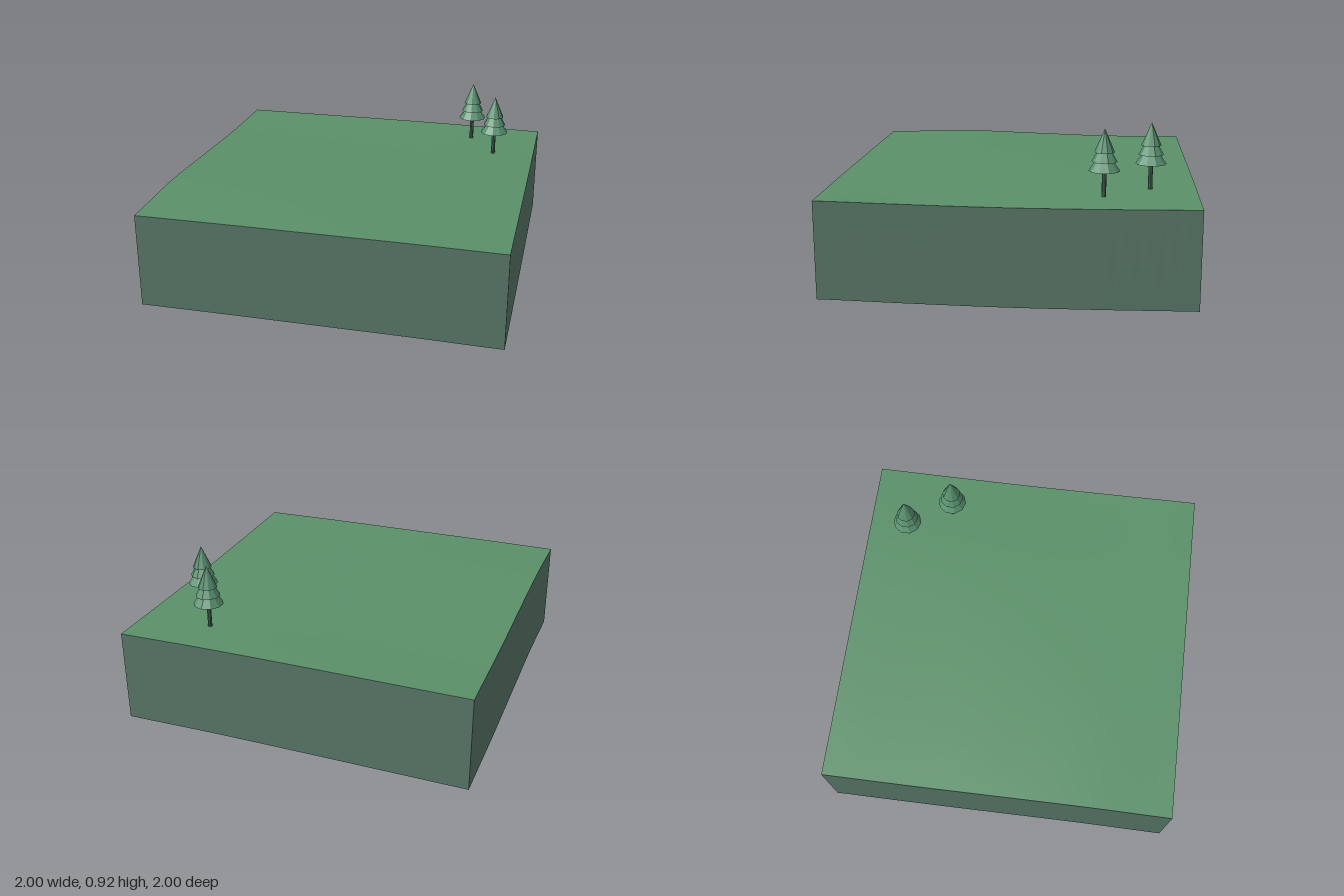
import * as THREE from 'three';

const DEPTH = 0.535; // height of the side walls
const SEG = 32;

// Ground heights on a coarse 5 x 5 net: rows z = -1..1, columns x = -1..1
const NET = [
  [0.555, 0.555, 0.555, 0.552, 0.543],
  [0.552, 0.552, 0.552, 0.549, 0.537],
  [0.565, 0.562, 0.556, 0.548, 0.535],
  [0.577, 0.571, 0.559, 0.550, 0.541],
  [0.560, 0.560, 0.558, 0.556, 0.550],
];

// Smooth interpolation through five evenly spaced values
function spline(v, t) {
  const s = THREE.MathUtils.clamp((t + 1) * 2, 0, 4);
  const i = Math.min(3, Math.floor(s));
  const f = s - i;
  const at = (k) => v[THREE.MathUtils.clamp(k, 0, 4)];
  const a = at(i - 1), b = at(i), c = at(i + 1), d = at(i + 2);
  return b + 0.5 * f * (c - a + f * (2 * a - 5 * b + 4 * c - d + f * (3 * (b - c) + d - a)));
}

const height = (x, z) => spline(NET.map((row) => spline(row, x)), z);

export function createModel() {
  const model = new THREE.Group();
  model.name = 'terrainTile';

  const grass = new THREE.MeshStandardMaterial({ name: 'grass green', color: 0x5a9069, side: THREE.DoubleSide });
  const earth = new THREE.MeshStandardMaterial({ name: 'grey green earth', color: 0x587666, side: THREE.DoubleSide });
  const foliage = new THREE.MeshStandardMaterial({ name: 'fir green', color: 0x588f6e, flatShading: true });
  const bark = new THREE.MeshStandardMaterial({ name: 'dark green bark', color: 0x466b55, flatShading: true });

  const add = (parent, name, geometry, material) => {
    const mesh = new THREE.Mesh(geometry, material);
    mesh.name = name;
    parent.add(mesh);
    return mesh;
  };

  // Gently rolling ground
  const ground = new THREE.PlaneGeometry(2, 2, SEG, SEG).rotateX(-Math.PI / 2);
  const gp = ground.attributes.position;
  for (let i = 0; i < gp.count; i++) gp.setY(i, height(gp.getX(i), gp.getZ(i)));
  ground.computeVertexNormals();
  add(model, 'ground', ground, grass);

  // Four walls hanging from the ground's edge, open underneath
  ['frontWall', 'leftWall', 'backWall', 'rightWall'].forEach((name, k) => {
    const wall = new THREE.PlaneGeometry(2, 1, SEG, 1).translate(0, 0, 1).rotateY(k * Math.PI / 2);
    const p = wall.attributes.position;
    for (let i = 0; i < p.count; i++) {
      const top = height(p.getX(i), p.getZ(i));
      p.setY(i, p.getY(i) > 0 ? top : top - DEPTH);
    }
    add(model, name, wall, earth);
  });

  // Fir trees: thin trunk and three stacked cones [base, radius, height]
  const tiers = [[0, 0.084, 0.12], [0.05, 0.068, 0.12], [0.1, 0.054, 0.125]];
  [[0.58, -0.75, 0.69], [0.75, -0.5, 0.682]].forEach(([x, z, base], n) => {
    const tree = new THREE.Group();
    tree.name = n ? 'frontTree' : 'backTree';
    tree.position.set(x, base, z);
    const foot = height(x, z) - 0.005 - base;
    add(tree, 'trunk', new THREE.CylinderGeometry(0.012, 0.012, 0.02 - foot, 8), bark)
      .position.y = (foot + 0.02) / 2;
    tiers.forEach(([y, r, h], i) => {
      add(tree, `foliageTier${i + 1}`, new THREE.ConeGeometry(r, h, 10), foliage).position.y = y + h / 2;
    });
    model.add(tree);
  });

  return model;
}
